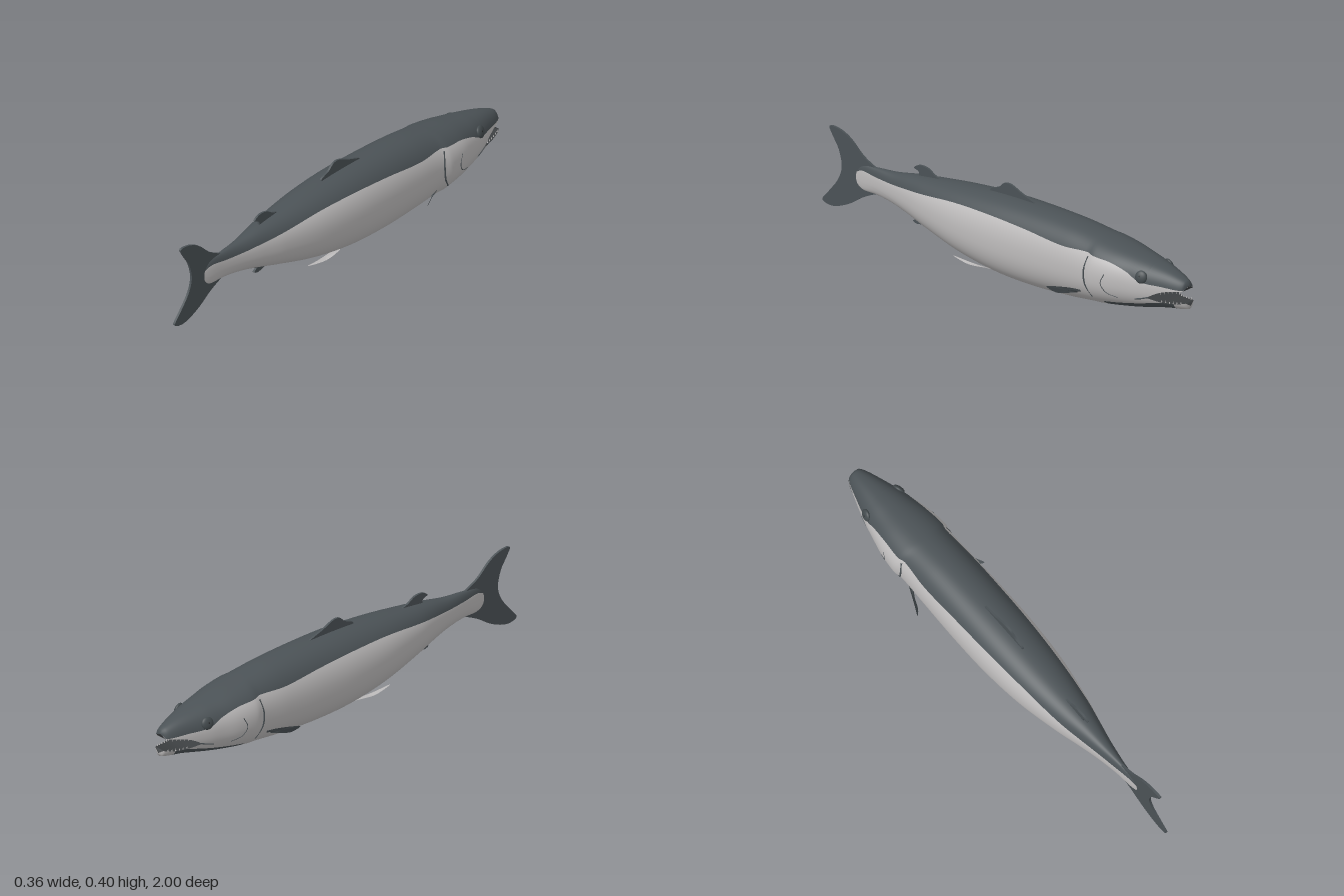
import * as THREE from 'three';

const mat = (name, color, side = THREE.FrontSide) => {
  const m = new THREE.MeshStandardMaterial({ color, side });
  m.name = name;
  return m;
};
const backMat = mat('slate back', 0x4b5256, THREE.DoubleSide);
const bellyMat = mat('silver belly', 0xbdbbbb, THREE.DoubleSide);
const mouthMat = mat('dark mouth', 0x3c3f41, THREE.DoubleSide);
const eyeMat = mat('eye', 0x434a4d);
const pupilMat = mat('pupil', 0x2a2d2f);

// Body stations: z, top, bottom, half width, height of the colour line
const STATIONS = [
  [-1.0, 0.222, 0.115, 0.022, 0.20], [-0.97, 0.24, 0.108, 0.043, 0.20], [-0.9, 0.264, 0.098, 0.068, 0.205],
  [-0.8, 0.287, 0.075, 0.1, 0.212], [-0.74, 0.298, 0.062, 0.115, 0.24], [-0.66, 0.312, 0.048, 0.134, 0.262],
  [-0.57, 0.325, 0.034, 0.143, 0.27], [-0.535, 0.33, 0.029, 0.135, 0.275], [-0.4, 0.344, 0.014, 0.137, 0.27],
  [-0.2, 0.351, 0.003, 0.141, 0.285], [0, 0.349, 0.01, 0.139, 0.292], [0.2, 0.335, 0.04, 0.123, 0.286],
  [0.4, 0.312, 0.09, 0.088, 0.262], [0.5, 0.298, 0.117, 0.064, 0.25], [0.6, 0.28, 0.14, 0.041, 0.24],
  [0.7, 0.272, 0.152, 0.023, 0.238], [0.78, 0.262, 0.152, 0.012, 0.24], [0.83, 0.225, 0.172, 0.002, 0.215],
];
const UPPER_LIP = [[-1, 0.2], [-0.93, 0.19], [-0.88, 0.174], [-0.83, 0.145]];
const LOWER_LIP = [[-1, 0.146], [-0.95, 0.136], [-0.9, 0.132], [-0.83, 0.145]];

// Smooth interpolation of a table keyed by its first column
function sample(keys, z) {
  const n = keys.length;
  let i = 0;
  while (i < n - 2 && z > keys[i + 1][0]) i++;
  const slope = (k, c) => {
    const a = keys[Math.max(k - 1, 0)], b = keys[Math.min(k + 1, n - 1)];
    return (b[c] - a[c]) / (b[0] - a[0]);
  };
  const A = keys[i], B = keys[i + 1], d = B[0] - A[0];
  const t = THREE.MathUtils.clamp((z - A[0]) / d, 0, 1), t2 = t * t, t3 = t2 * t;
  return A.slice(1).map((v, k) => (2 * t3 - 3 * t2 + 1) * v + (t3 - 2 * t2 + t) * d * slope(i, k + 1)
    + (3 * t2 - 2 * t3) * B[k + 1] + (t3 - t2) * d * slope(i + 1, k + 1));
}

// Rounded cross-section: point at an angle, and angle at a height
const POW = 0.9;
function surface(z, a, off = 0) {
  const [top, bot, hw] = sample(STATIONS, z), s = Math.sin(a);
  const x = (hw + off) * Math.pow(Math.max(Math.cos(a), 0), POW);
  const y = (top + bot) / 2 + ((top - bot) / 2 + off) * Math.sign(s) * Math.pow(Math.abs(s), POW);
  return new THREE.Vector3(x, y, z);
}
function angleAt(z, y) {
  const [top, bot] = sample(STATIONS, z);
  const v = THREE.MathUtils.clamp((y - (top + bot) / 2) / ((top - bot) / 2), -1, 1);
  return Math.asin(Math.sign(v) * Math.pow(Math.abs(v), 1 / POW));
}

// Half ring from top to bottom, clipped by a lip line, with flat mouth surfaces
const BANDS = [12, 14, 7];
function halfRing(z, part) {
  const [, bot, , line] = sample(STATIONS, z), q = Math.PI / 2;
  const hi = part === 'lower' ? angleAt(z, sample(LOWER_LIP, z)[0]) : q;
  const lo = part === 'upper' ? angleAt(z, sample(UPPER_LIP, z)[0]) : -q;
  const fit = (a) => THREE.MathUtils.clamp(a, lo, hi);
  const br = [hi, fit(angleAt(z, line)), fit(angleAt(z, bot + 0.035)), lo];
  const pts = [], mats = [];
  const lip = (a) => { const p = surface(z, a); return [p, new THREE.Vector3(0, p.y, z)]; };
  const [hiEdge, hiMid] = lip(hi), [loEdge, loMid] = lip(lo);
  pts.push(hiMid, hiEdge);
  mats.push(2, 2);
  BANDS.forEach((n, b) => {
    for (let j = 0; j < n; j++) {
      pts.push(surface(z, br[b] + (br[b + 1] - br[b]) * j / n));
      mats.push(b === 0 ? 0 : b === 1 ? 1 : z < -0.62 && z > -0.95 ? 0 : 1);
    }
  });
  pts.push(loEdge.clone(), loEdge, loMid);
  mats.push(2, 2);
  return { pts, mats };
}

function loft(name, z0, z1, steps, part) {
  const rings = [];
  for (let i = 0; i <= steps; i++) rings.push(halfRing(z0 + (z1 - z0) * i / steps, part));
  if (part !== 'body') { // rounded jaw tip
    const r = rings[0], mid = (r.pts[0].y + r.pts[r.pts.length - 1].y) / 2;
    rings.unshift({ pts: r.pts.map((p) => new THREE.Vector3(0, mid, p.z - 0.006)), mats: r.mats });
  }
  const pos = [], faces = [[], [], []], n = rings[0].pts.length;
  for (const s of [1, -1]) {
    const base = pos.length / 3;
    rings.forEach((r) => r.pts.forEach((p) => pos.push(s * p.x, p.y, p.z)));
    for (let i = 0; i < rings.length - 1; i++) for (let j = 0; j < n - 1; j++) {
      const a = base + i * n + j, b = a + 1, c = a + n, d = c + 1;
      faces[rings[i].mats[j]].push(...(s > 0 ? [a, c, b, c, d, b] : [a, b, c, c, b, d]));
    }
  }
  const g = new THREE.BufferGeometry();
  g.setAttribute('position', new THREE.Float32BufferAttribute(pos, 3));
  g.setIndex(faces.flat());
  let start = 0;
  faces.forEach((f, k) => { g.addGroup(start, f.length, k); start += f.length; });
  g.computeVertexNormals();
  const N = g.attributes.normal; // keep the midline smooth
  for (let i = 0; i < N.count; i++) if (Math.abs(pos[i * 3]) < 1e-4) {
    const l = Math.hypot(N.getY(i), N.getZ(i)) || 1;
    N.setXYZ(i, 0, N.getY(i) / l, N.getZ(i) / l);
  }
  return named(name, g, [backMat, bellyMat, mouthMat]);
}

function named(name, geo, material) {
  const m = new THREE.Mesh(geo, material);
  m.name = name;
  return m;
}

const closedCurve = (pts, n) => new THREE.CatmullRomCurve3(pts, true, 'centripetal').getPoints(n).slice(0, -1);

// Midline fin from a (z, y) outline
function midFin(name, outline, thick) {
  const pts = closedCurve(outline.map(([z, y]) => new THREE.Vector3(z, y, 0)), 80);
  const g = new THREE.ExtrudeGeometry(new THREE.Shape(pts.map((p) => new THREE.Vector2(p.x, p.y))),
    { depth: thick, bevelEnabled: false });
  g.translate(0, 0, -thick / 2).rotateY(-Math.PI / 2);
  return named(name, g, backMat);
}

// Thin paired fin from a 3D outline
function pairedFin(name, outline, s, material) {
  const pts = closedCurve(outline.map(([x, y, z]) => new THREE.Vector3(s * x, y, z)), 32);
  const mid = pts.reduce((a, p) => a.add(p), new THREE.Vector3()).divideScalar(pts.length);
  const tris = pts.flatMap((p, i) => [mid, p, pts[(i + 1) % pts.length]]);
  const g = new THREE.BufferGeometry().setFromPoints(tris);
  g.computeVertexNormals();
  return named(name, g, material);
}

// Groove line along the skin through (z, y) points
function groove(name, points, s, r) {
  const pts = points.map(([z, y]) => surface(z, angleAt(z, y)).multiply(new THREE.Vector3(s, 1, 1)));
  return named(name, new THREE.TubeGeometry(new THREE.CatmullRomCurve3(pts), 32, r, 6), backMat);
}

export function createModel() {
  const fish = new THREE.Group();
  fish.name = 'fish';
  fish.add(loft('body', -0.83, 0.83, 130, 'body'));
  fish.add(loft('upperJaw', -0.985, -0.83, 20, 'upper'));
  fish.add(loft('lowerJaw', -0.994, -0.83, 20, 'lower'));

  // Midline fins
  fish.add(midFin('tailFin', [[0.66, 0.25], [0.72, 0.272], [0.78, 0.303], [0.85, 0.362], [0.91, 0.388], [0.96, 0.388],
    [0.945, 0.355], [0.91, 0.3], [0.893, 0.225], [0.912, 0.165], [0.965, 0.095], [0.998, 0.05], [0.95, 0.036],
    [0.86, 0.066], [0.78, 0.118], [0.72, 0.148], [0.66, 0.17]], 0.01));
  fish.add(midFin('dorsalFin', [[-0.16, 0.345], [-0.08, 0.377], [-0.02, 0.4], [0.01, 0.397], [0.04, 0.372],
    [0.085, 0.35], [0.08, 0.32], [-0.1, 0.32]], 0.009));
  fish.add(midFin('adiposeFin', [[0.35, 0.31], [0.39, 0.325], [0.43, 0.346], [0.475, 0.347], [0.5, 0.33],
    [0.475, 0.318], [0.47, 0.29], [0.38, 0.29]], 0.009));
  fish.add(midFin('analFin', [[0.4, 0.11], [0.44, 0.094], [0.485, 0.084], [0.505, 0.092], [0.49, 0.105],
    [0.52, 0.122], [0.5, 0.14], [0.42, 0.13]], 0.01));

  for (const s of [1, -1]) {
    const side = s > 0 ? 'left' : 'right';
    // Paired fins
    fish.add(pairedFin(side + 'PectoralFin', [[0.105, 0.093, -0.53], [0.13, 0.104, -0.48], [0.165, 0.104, -0.405],
      [0.181, 0.1, -0.372], [0.153, 0.071, -0.4], [0.13, 0.076, -0.45], [0.105, 0.082, -0.49]], s, backMat));
    fish.add(pairedFin(side + 'PelvicFin', [[0.035, 0.014, 0], [0.07, 0.028, 0.05], [0.078, 0.022, 0.14],
      [0.062, 0.03, 0.238], [0.045, 0.016, 0.16]], s, bellyMat));

    // Gill cover edge and cheek line
    fish.add(groove(side + 'GillEdge', [[-0.545, 0.262], [-0.533, 0.2], [-0.54, 0.14], [-0.57, 0.09]], s, 0.004));
    fish.add(groove(side + 'CheekLine', [[-0.645, 0.215], [-0.628, 0.17], [-0.65, 0.135], [-0.7, 0.12]], s, 0.002));
    fish.add(groove(side + 'MouthCorner', [[-0.84, 0.149], [-0.81, 0.138], [-0.78, 0.13]], s, 0.003));

    // Eye
    for (const [part, r, out, m] of [['Eye', 0.027, 0, eyeMat], ['Pupil', 0.014, 0.006, pupilMat]]) {
      const eye = named(side + part, new THREE.SphereGeometry(r, 24, 16), m);
      eye.scale.x = 0.45;
      eye.position.copy(surface(-0.807, angleAt(-0.807, 0.232), out));
      eye.position.x *= s;
      eye.rotation.set(0, s * 0.27, s * 0.3);
      fish.add(eye);
    }

    // Teeth
    for (let i = 0; i < 6; i++) for (const up of [true, false]) {
      const z = -0.89 - i * 0.017, y = sample(up ? UPPER_LIP : LOWER_LIP, z)[0];
      const tooth = named(side + (up ? 'UpperTooth' : 'LowerTooth'), new THREE.ConeGeometry(0.003, 0.012, 6), bellyMat);
      tooth.position.set(s * surface(z, angleAt(z, y)).x * 0.9, y + (up ? -0.005 : 0.005), z);
      if (up) tooth.rotation.x = Math.PI;
      fish.add(tooth);
    }
  }
  return fish;
}
